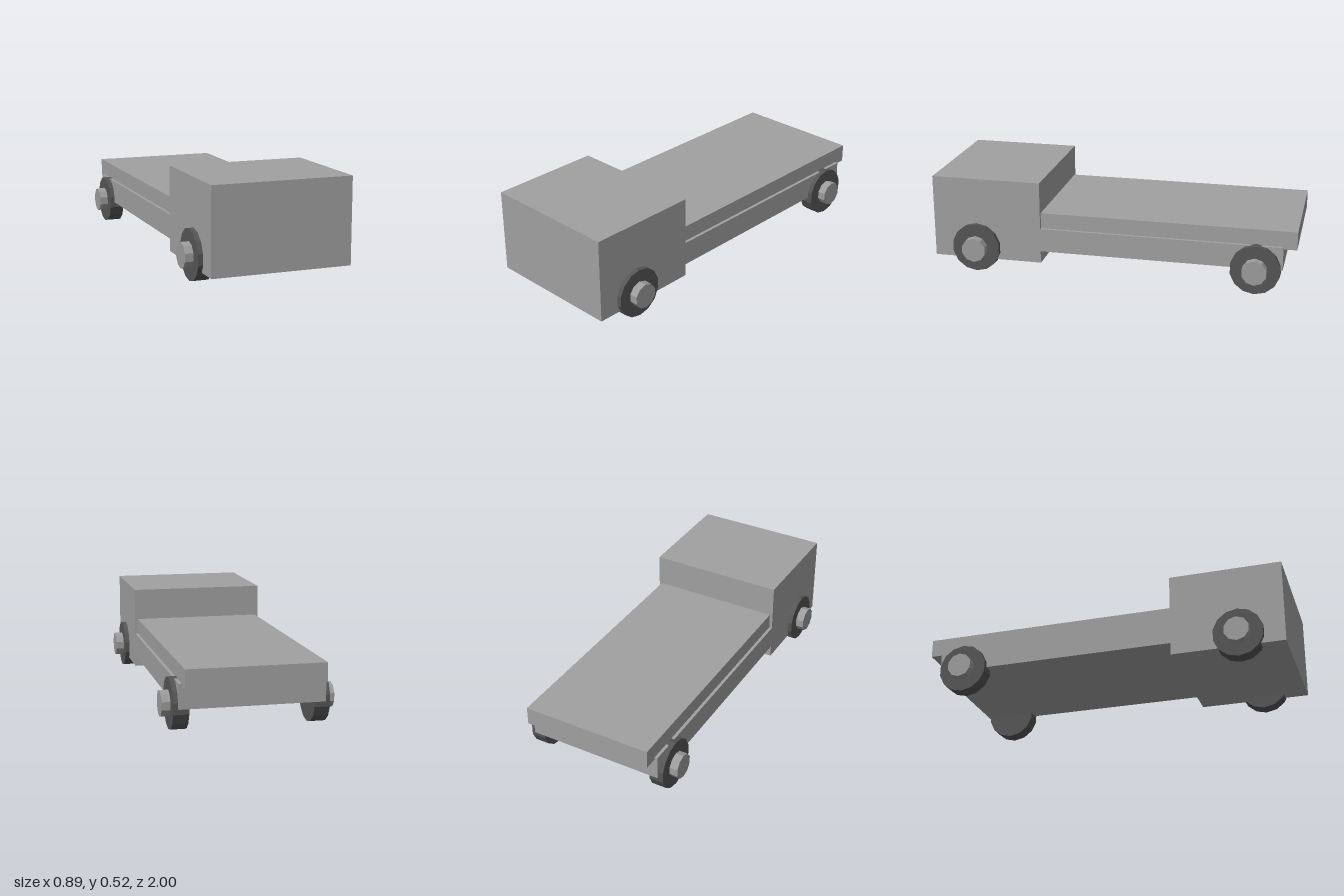
import * as THREE from 'three';

const mat = (name, color) => {
  const m = new THREE.MeshStandardMaterial({ color });
  m.name = name;
  return m;
};

export function createModel() {
  const grey = mat('bodyGrey', 0xa0a0a0);
  const rubber = mat('tyreDarkGrey', 0x555555);
  const hubGrey = mat('hubGrey', 0x9c9c9c);
  hubGrey.flatShading = rubber.flatShading = true;
  const model = new THREE.Group();
  model.name = 'flatbedTruck';

  // Box from its width and its y and z limits
  const addBox = (name, w, y0, y1, z0, z1) => {
    const box = new THREE.Mesh(new THREE.BoxGeometry(w, y1 - y0, z1 - z0), grey);
    box.position.set(0, (y0 + y1) / 2, (z0 + z1) / 2);
    box.name = name;
    model.add(box);
  };
  addBox('cab', 0.75, 0.067, 0.525, 0.391, 1);
  addBox('chassis', 0.75, 0.134, 0.264, -0.93, 0.391);
  addBox('flatbed', 0.716, 0.25, 0.35, -1, 0.391);

  // Disc along x, with one corner pointing straight up
  const disc = (name, r, x0, x1, sides, material) => {
    const g = new THREE.CylinderGeometry(r, r, x1 - x0, sides, 1, false, Math.PI / 2);
    g.rotateZ(Math.PI / 2);
    g.translate((x0 + x1) / 2, 0, 0);
    const mesh = new THREE.Mesh(g, material);
    mesh.name = name;
    return mesh;
  };

  // Four wheels: 14-sided tyres with 10-sided hubs
  for (const [end, z] of [['front', 0.756], ['rear', -0.787]]) {
    for (const [side, s] of [['Left', 1], ['Right', -1]]) {
      const wheel = new THREE.Group();
      wheel.name = `${end}${side}Wheel`;
      wheel.add(disc('tyre', 0.135, 0.32, 0.4, 14, rubber));
      wheel.add(disc('hub', 0.068, 0.36, 0.445, 10, hubGrey));
      wheel.position.set(0, 0.135, z);
      if (s < 0) wheel.rotation.y = Math.PI;
      model.add(wheel);
    }
  }
  return model;
}
